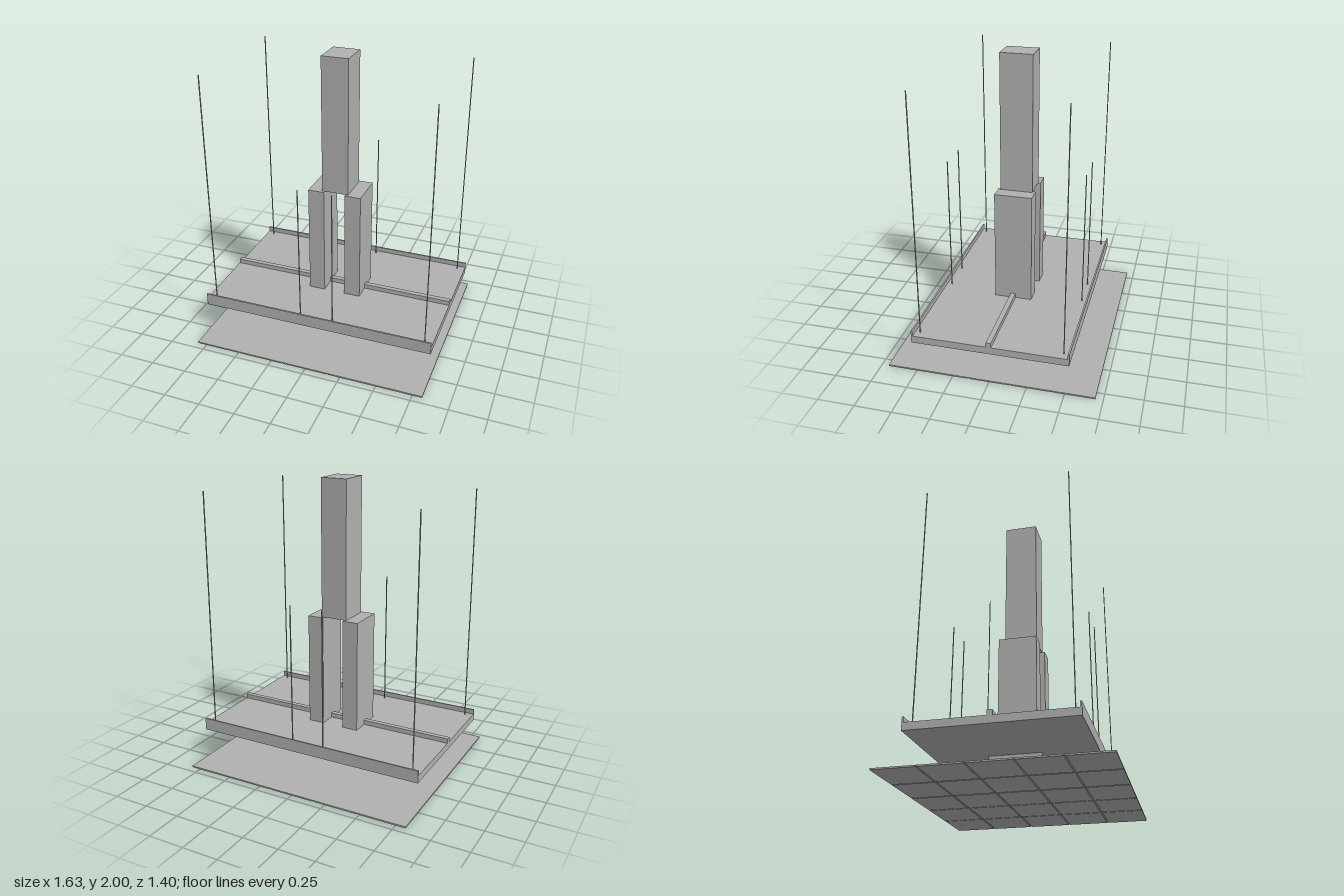
import * as THREE from 'three';

export function createModel() {
  const model = new THREE.Group();
  model.name = 'twinTowerModel';
  const grey = new THREE.MeshStandardMaterial({ color: 0xb0b0b0 });
  grey.name = 'pale grey';

  // box given by its centre in x and z, and its bottom and top heights
  function block(name, x, z, width, depth, y0, y1, parent = model) {
    const mesh = new THREE.Mesh(new THREE.BoxGeometry(width, y1 - y0, depth), grey);
    mesh.name = name;
    mesh.position.set(x, (y0 + y1) / 2, z);
    parent.add(mesh);
    return mesh;
  }

  // ground plate, with a grid of shallow tiles beneath it
  const W = 1.634, D = 1.4, N = 5, GAP = 0.01;
  block('groundPlate', 0, 0, W, D, 0.005, 0.01);
  const tiles = new THREE.Group();
  tiles.name = 'groundTiles';
  model.add(tiles);
  const tileW = (W - GAP * (N - 1)) / N, tileD = (D - GAP * (N - 1)) / N;
  for (let i = 0; i < N; i++) {
    for (let j = 0; j < N; j++) {
      const x = (i - (N - 1) / 2) * (tileW + GAP);
      const z = (j - (N - 1) / 2) * (tileD + GAP);
      block('groundTile', x, z, tileW, tileD, 0, 0.005, tiles);
    }
  }

  // pedestal under the deck
  block('pedestal', 0, 0, 0.462, 0.346, 0.01, 0.22);

  // deck with raised edges and a centre rail, extruded along x
  const profile = new THREE.Shape([
    [-0.526, 0.22], [0.526, 0.22], [0.526, 0.305], [0.515, 0.305], [0.515, 0.27],
    [0.017, 0.27], [0.017, 0.302], [-0.017, 0.302], [-0.017, 0.27],
    [-0.515, 0.27], [-0.515, 0.305], [-0.526, 0.305],
  ].map(([z, y]) => new THREE.Vector2(z, y)));
  const deckGeometry = new THREE.ExtrudeGeometry(profile, { depth: W, bevelEnabled: false });
  deckGeometry.translate(0, 0, -W / 2).rotateY(Math.PI / 2);
  const deck = new THREE.Mesh(deckGeometry, grey);
  deck.name = 'deck';
  model.add(deck);

  // twin lower towers and the upper tower resting on both
  for (const side of [-1, 1]) {
    block(side > 0 ? 'leftTower' : 'rightTower', side * 0.132, 0, 0.114, 0.26, 0.27, 1.053);
  }
  block('upperTower', 0, 0, 0.187, 0.222, 1.053, 2);

  // tall corner rods and shorter inner rods
  for (const sx of [-1, 1]) {
    for (const sz of [-1, 1]) {
      block('cornerRod', sx * 0.763, sz * 0.481, 0.006, 0.006, 0.27, 1.912);
      block('innerRod', sx * 0.117, sz * 0.481, 0.006, 0.006, 0.27, 1.228);
    }
  }
  return model;
}
